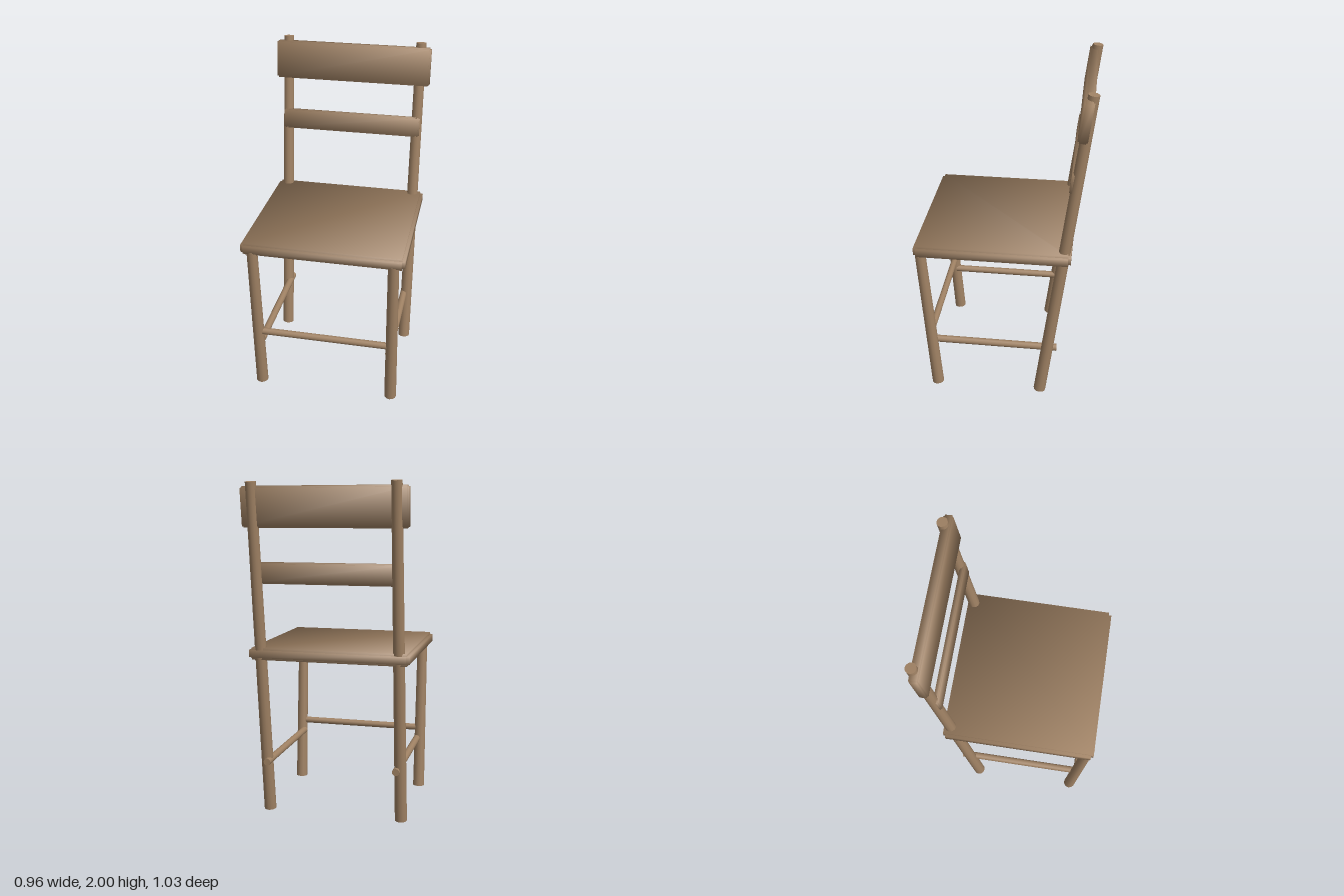
import * as THREE from 'three';
import { mergeGeometries } from 'three/addons/utils/BufferGeometryUtils.js';

const wood = new THREE.MeshStandardMaterial({ color: 0xa08264 });
wood.name = 'wood';

// Box whose corner normals point outwards, giving a soft pillowed shading
function softBox(w, h, d) {
  const g = new THREE.BoxGeometry(w, h, d);
  const p = g.attributes.position, n = g.attributes.normal, k = 1 / Math.sqrt(3);
  for (let i = 0; i < p.count; i++) {
    n.setXYZ(i, Math.sign(p.getX(i)) * k, Math.sign(p.getY(i)) * k, Math.sign(p.getZ(i)) * k);
  }
  return g;
}

// Board with stepped edges: three crossing boxes, each full size along one axis
function board(name, [w, h, d], [ex, ey, ez], position, tilt = 0) {
  const mesh = new THREE.Mesh(mergeGeometries([
    softBox(w, h - 2 * ey, d - 2 * ez),
    softBox(w - 2 * ex, h, d - 2 * ez),
    softBox(w - 2 * ex, h - 2 * ey, d),
  ]), wood);
  mesh.name = name;
  mesh.position.set(...position);
  mesh.rotation.x = tilt;
  return mesh;
}

// Round, optionally tapered bar between two points
function bar(name, from, to, rFrom, rTo = rFrom) {
  const a = new THREE.Vector3(...from), b = new THREE.Vector3(...to);
  const dir = b.clone().sub(a);
  const mesh = new THREE.Mesh(new THREE.CylinderGeometry(rTo, rFrom, dir.length(), 12), wood);
  mesh.name = name;
  mesh.position.copy(a).add(b).multiplyScalar(0.5);
  mesh.quaternion.setFromUnitVectors(new THREE.Vector3(0, 1, 0), dir.normalize());
  return mesh;
}

export function createModel() {
  const chair = new THREE.Group();
  chair.name = 'chair';
  const lean = -0.122;

  // Seat and back rails
  chair.add(
    board('seat', [0.96, 0.072, 0.914], [0.018, 0.014, 0.016], [0, 1.006, 0.055]),
    board('topRail', [0.96, 0.23, 0.055], [0.01, 0.008, 0.008], [0, 1.857, -0.447], lean),
    board('lowerRail', [0.87, 0.124, 0.03], [0.008, 0.007, 0.006], [0, 1.483, -0.395], lean),
  );

  // Legs and side stretchers, mirrored
  for (const [side, s] of [['left', 1], ['right', -1]]) {
    const x = 0.414 * s;
    chair.add(
      bar(side + 'FrontLeg', [x, 0.004, 0.416], [x, 0.99, 0.484], 0.037, 0.032),
      bar(side + 'BackLeg', [x, 0.006, -0.237], [x, 1.996, -0.48], 0.037, 0.031),
      bar(side + 'SideStretcher', [0.397 * s, 0.331, 0.43], [0.397 * s, 0.331, -0.335], 0.022),
    );
  }

  // Front stretcher
  chair.add(bar('frontStretcher', [-0.41, 0.4, 0.443], [0.41, 0.4, 0.443], 0.021));
  return chair;
}
